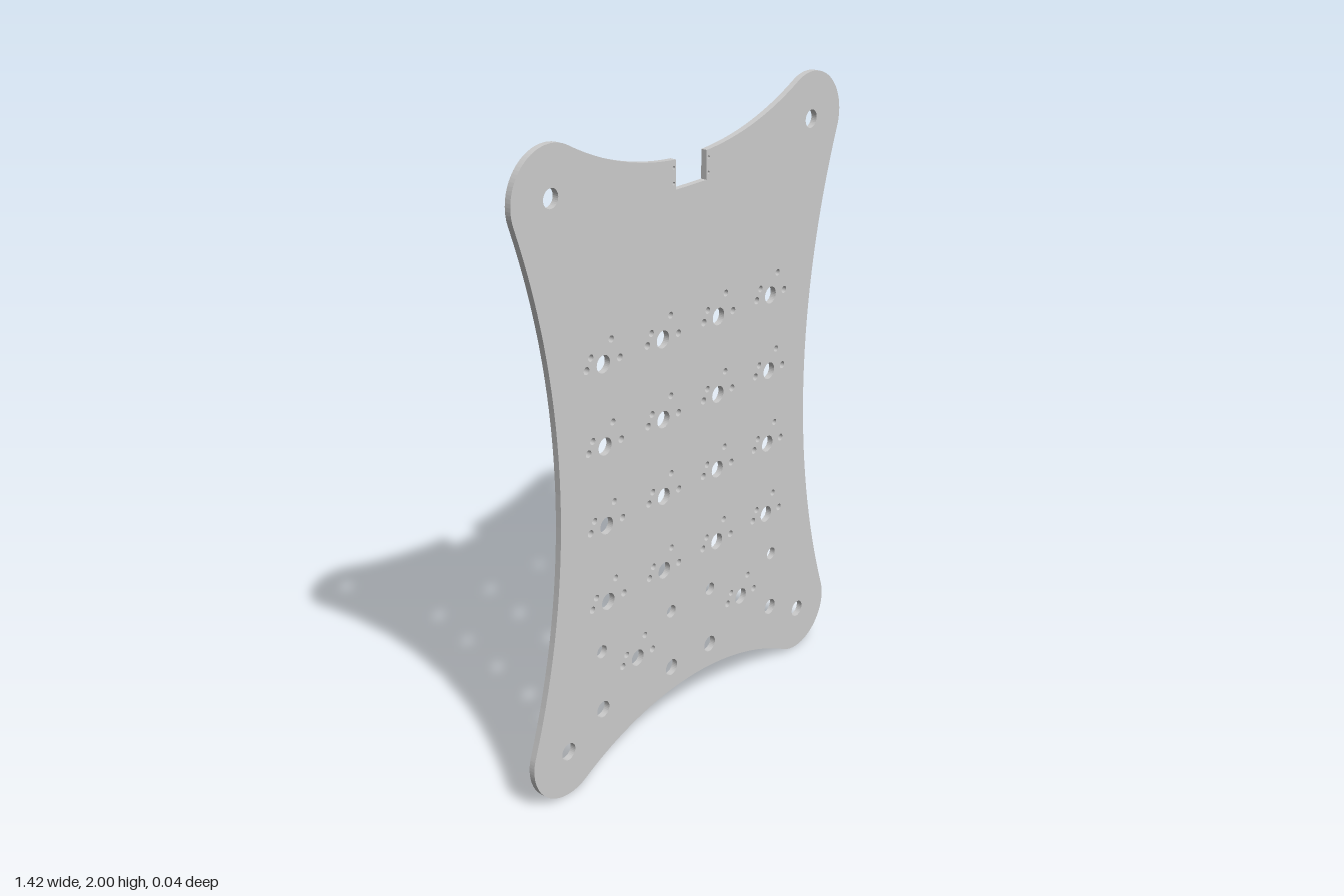
import * as THREE from 'three';

const grey = new THREE.MeshStandardMaterial({ color: 0xcccccc });
const CX = 0.563, R = 0.145, TOP = 1.855, BOTTOM = 0.145, THICK = 0.02;
const NOTCH = 0.067, NOTCH_Y = 1.77;
const columns = [-0.378, -0.126, 0.126, 0.378];
const rows = [1.338, 1.086, 0.834, 0.582];

// Board outline: four round corners joined by tangent inward arcs
function boardShape() {
  const s = new THREE.Shape();
  const h = (TOP - BOTTOM) / 2;
  const rs = (h * h - R * R) / (2 * R), rt = (CX * CX - R * R) / (2 * R);
  const a = Math.atan2(h, rs), b = Math.atan2(CX, rt), n = Math.asin(NOTCH / rt);
  const P = Math.PI, Q = P / 2;
  s.absarc(CX + rs, 1, rs, P + a, P - a, true);
  s.absarc(CX, TOP, R, -a, Q + b, false);
  s.absarc(0, TOP + rt, rt, -Q + b, -Q + n, true);
  s.lineTo(NOTCH, NOTCH_Y);
  s.lineTo(-NOTCH, NOTCH_Y);
  s.absarc(0, TOP + rt, rt, -Q - n, -Q - b, true);
  s.absarc(-CX, TOP, R, Q - b, P + a, false);
  s.absarc(-CX - rs, 1, rs, a, -a, true);
  s.absarc(-CX, BOTTOM, R, P - a, 3 * Q + b, false);
  s.absarc(0, BOTTOM - rt, rt, Q + b, Q - b, true);
  s.absarc(CX, BOTTOM, R, -Q - b, a, false);
  return s;
}

function createBoard() {
  const s = boardShape();
  const hole = (x, y, r) => s.holes.push(new THREE.Path().absarc(x, y, r, 0, Math.PI * 2, true));
  // Key switch pattern: centre post, two side posts, two pins
  const keyHoles = (x, y) => {
    hole(x, y, 0.027);
    hole(x - 0.068, y, 0.0115);
    hole(x + 0.068, y, 0.0115);
    hole(x - 0.05, y + 0.033, 0.0105);
    hole(x + 0.034, y + 0.065, 0.0105);
  };
  for (const y of rows) for (const x of columns) keyHoles(x, y);
  for (const x of [-0.252, 0.252]) keyHoles(x, 0.33);
  for (const side of [-1, 1]) {
    // Mounting holes
    hole(side * CX, TOP, 0.028);
    hole(side * CX, BOTTOM + 0.003, 0.028);
    // Stabiliser holes
    for (const x of [0.094, 0.41]) {
      hole(side * x, 0.424, 0.021);
      hole(side * x, 0.222, 0.027);
    }
    // Solder holes beside the notch
    for (const y of [1.79, 1.835]) hole(side * 0.076, y, 0.005);
  }
  const geo = new THREE.ExtrudeGeometry(s, { depth: THICK, bevelEnabled: false, curveSegments: 16 });
  const board = new THREE.Mesh(geo, grey);
  board.name = 'board';
  return board;
}

// Box standing on the back face of the board
function backBox(name, x, y, w, h, d, turn = 0) {
  const m = new THREE.Mesh(new THREE.BoxGeometry(w, h, d), grey);
  m.name = name;
  m.position.set(x, y, -d / 2);
  m.rotation.z = turn;
  return m;
}

// Small round diode with end caps
function createDiode(x, y, upright) {
  const g = new THREE.Group();
  g.name = 'diode';
  g.add(new THREE.Mesh(new THREE.CylinderGeometry(0.008, 0.008, 0.045, 16), grey));
  for (const e of [-1, 1]) {
    const cap = new THREE.Mesh(new THREE.CylinderGeometry(0.009, 0.009, 0.01, 16), grey);
    cap.name = 'diodeCap';
    cap.position.y = e * 0.0175;
    g.add(cap);
  }
  g.position.set(x, y, -0.0105);
  if (!upright) g.rotation.z = Math.PI / 2;
  return g;
}

// Square controller chip turned on its corner, with rows of legs
function createController() {
  const g = new THREE.Group();
  g.name = 'controller';
  g.add(backBox('chipBody', 0, 0, 0.1, 0.1, 0.012));
  for (let side = 0; side < 4; side++) {
    const row = new THREE.Group();
    row.name = 'chipLegs';
    for (let i = 0; i < 11; i++) row.add(backBox('leg', (i - 5) * 0.0085, 0.054, 0.004, 0.012, 0.004));
    row.rotation.z = side * Math.PI / 2;
    g.add(row);
  }
  g.position.set(0, 1.565, 0);
  g.rotation.z = Math.PI / 4;
  return g;
}

// Push button: square base, round plunger, four legs
function createButton() {
  const g = new THREE.Group();
  g.name = 'resetButton';
  const s = 0.029, c = 0.018;
  const base = new THREE.Shape([[s, -c], [s, c], [c, s], [-c, s], [-s, c], [-s, -c], [-c, -s], [c, -s]]
    .map(([x, y]) => new THREE.Vector2(x, y)));
  const body = new THREE.Mesh(new THREE.ExtrudeGeometry(base, { depth: 0.014, bevelEnabled: false }), grey);
  body.position.z = -0.014;
  const plunger = new THREE.Mesh(new THREE.CylinderGeometry(0.014, 0.014, 0.02, 24), grey);
  plunger.rotation.x = Math.PI / 2;
  plunger.position.z = -0.01;
  g.add(body, plunger);
  for (const x of [-1, 1]) for (const y of [-1, 1]) g.add(backBox('buttonLeg', x * 0.032, y * 0.019, 0.014, 0.01, 0.004));
  g.position.y = 0.33;
  return g;
}

// Small chip component with two end caps
function createPassive(x, y, turn) {
  const g = new THREE.Group();
  g.name = 'passive';
  g.add(backBox('passiveBody', 0, 0, 0.014, 0.011, 0.007));
  for (const e of [-1, 1]) g.add(backBox('passiveCap', e * 0.009, 0, 0.005, 0.012, 0.008));
  g.position.set(x, y, 0);
  g.rotation.z = turn;
  return g;
}

export function createModel() {
  const model = new THREE.Group();
  model.name = 'keypadBoard';
  model.add(createBoard(), createController(), createButton());
  // Diodes above each key, and upright ones beside the wide keys
  for (const y of rows) for (const x of [-0.348, -0.096, 0.096, 0.348]) model.add(createDiode(x, y + 0.109, false));
  for (const x of [-0.154, 0.154]) model.add(createDiode(x, 0.33, true));
  // Crystal and fuse on the upper flanks of the controller
  const q = Math.PI / 4;
  model.add(backBox('crystal', -0.078, 1.623, 0.045, 0.034, 0.014, -q));
  model.add(backBox('fuse', 0.06, 1.632, 0.042, 0.026, 0.018, q));
  // Line protection chip below the notch
  const guard = new THREE.Group();
  guard.name = 'protectionChip';
  guard.add(backBox('guardBody', 0, 0, 0.044, 0.022, 0.016));
  for (const x of [-0.015, 0, 0.015]) for (const e of [-1, 1]) guard.add(backBox('guardLeg', x, e * 0.015, 0.007, 0.012, 0.005));
  guard.position.set(0, 1.692, 0);
  model.add(guard);
  // Passives scattered around the controller
  const passives = [
    [0.04, 1.7, 0], [-0.04, 1.7, 0], [0.0, 1.66, 0], [-0.028, 1.655, q], [0.105, 1.6, q],
    [-0.105, 1.585, -q], [0.075, 1.525, -q], [0.055, 1.508, -q], [-0.075, 1.525, q], [-0.05, 1.508, q],
  ];
  for (const p of passives) model.add(createPassive(...p));
  return model;
}
